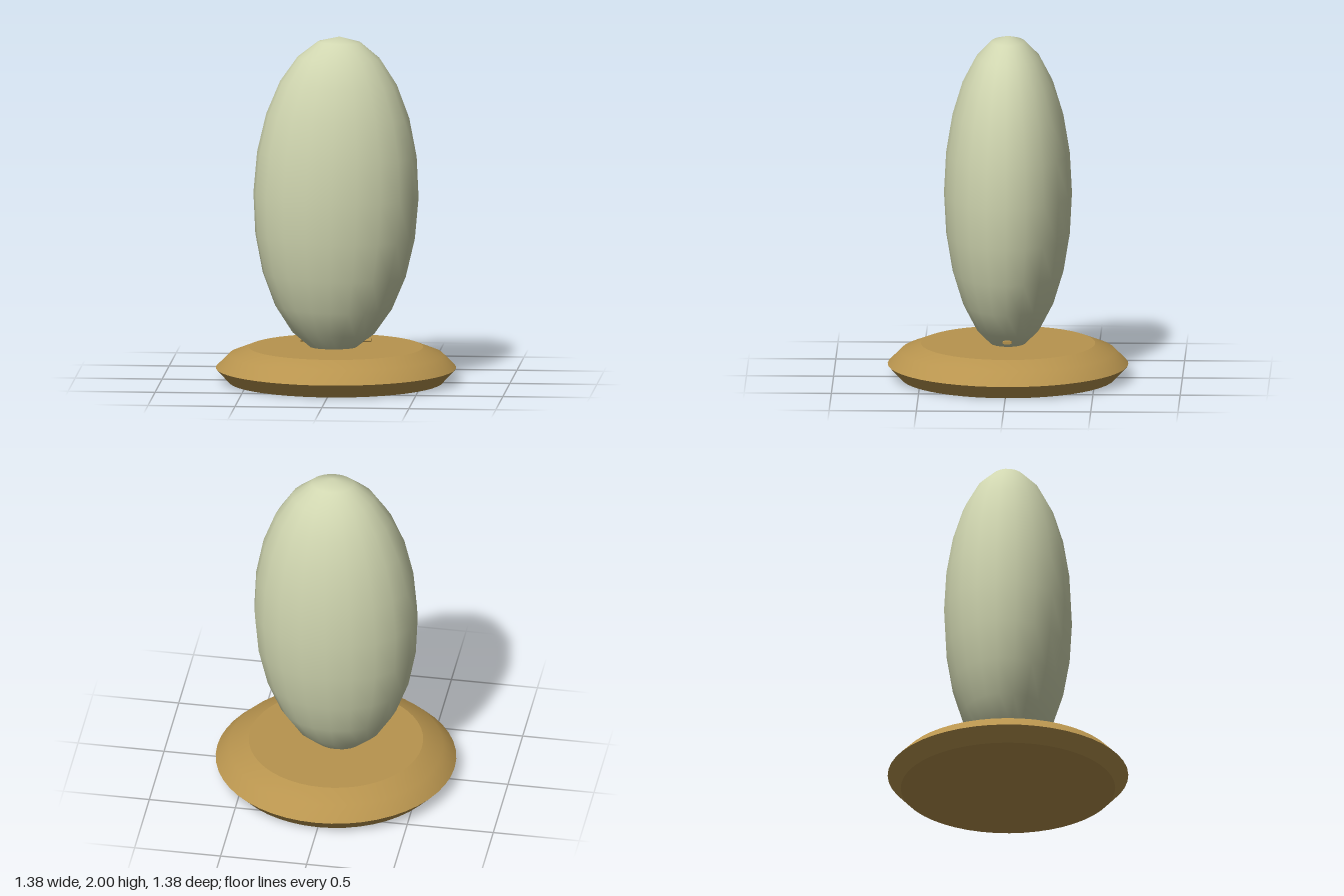
import * as THREE from 'three';

export function createModel() {
  const model = new THREE.Group();
  model.name = 'eggOnStand';

  const shell = new THREE.MeshStandardMaterial({ color: 0xd0d6b0 });
  shell.name = 'pale sage';
  const wood = new THREE.MeshStandardMaterial({ color: 0xb8944e });
  wood.name = 'golden brown';

  const add = (name, geometry, material, parent = model) => {
    const mesh = new THREE.Mesh(geometry, material);
    mesh.name = name;
    parent.add(mesh);
    return mesh;
  };

  // Round stand: each band is its own lathe, so the rims between them stay sharp
  const stand = new THREE.Group();
  stand.name = 'stand';
  model.add(stand);
  const bands = {
    standUnderside: [[0, 0], [0.615, 0]],
    standLowerBevel: [[0.615, 0], [0.69, 0.08]],
    standUpperBevel: [[0.69, 0.08], [0.615, 0.155], [0.5, 0.2]],
    standTop: [[0.5, 0.2], [0, 0.2]],
  };
  for (const [name, points] of Object.entries(bands)) {
    const profile = points.map(([r, y]) => new THREE.Vector2(r, y));
    add(name, new THREE.LatheGeometry(profile, 48), wood, stand);
  }

  // Tall oval body, narrower front to back and leaning very slightly
  const body = add('body', new THREE.SphereGeometry(1, 20, 12), shell);
  body.scale.set(0.475, 0.92, 0.367);
  body.position.y = 1.08;
  body.rotation.z = -0.022;

  // Small flattened peg tips on both sides of the body's foot
  for (const side of [-1, 1]) {
    const peg = add(side > 0 ? 'leftPeg' : 'rightPeg', new THREE.CylinderGeometry(1, 1, 0.08, 12), wood);
    peg.rotation.z = Math.PI / 2;
    peg.scale.set(0.01, 1, 0.027);
    peg.position.set(side * 0.162, 0.24, 0);
  }

  return model;
}
